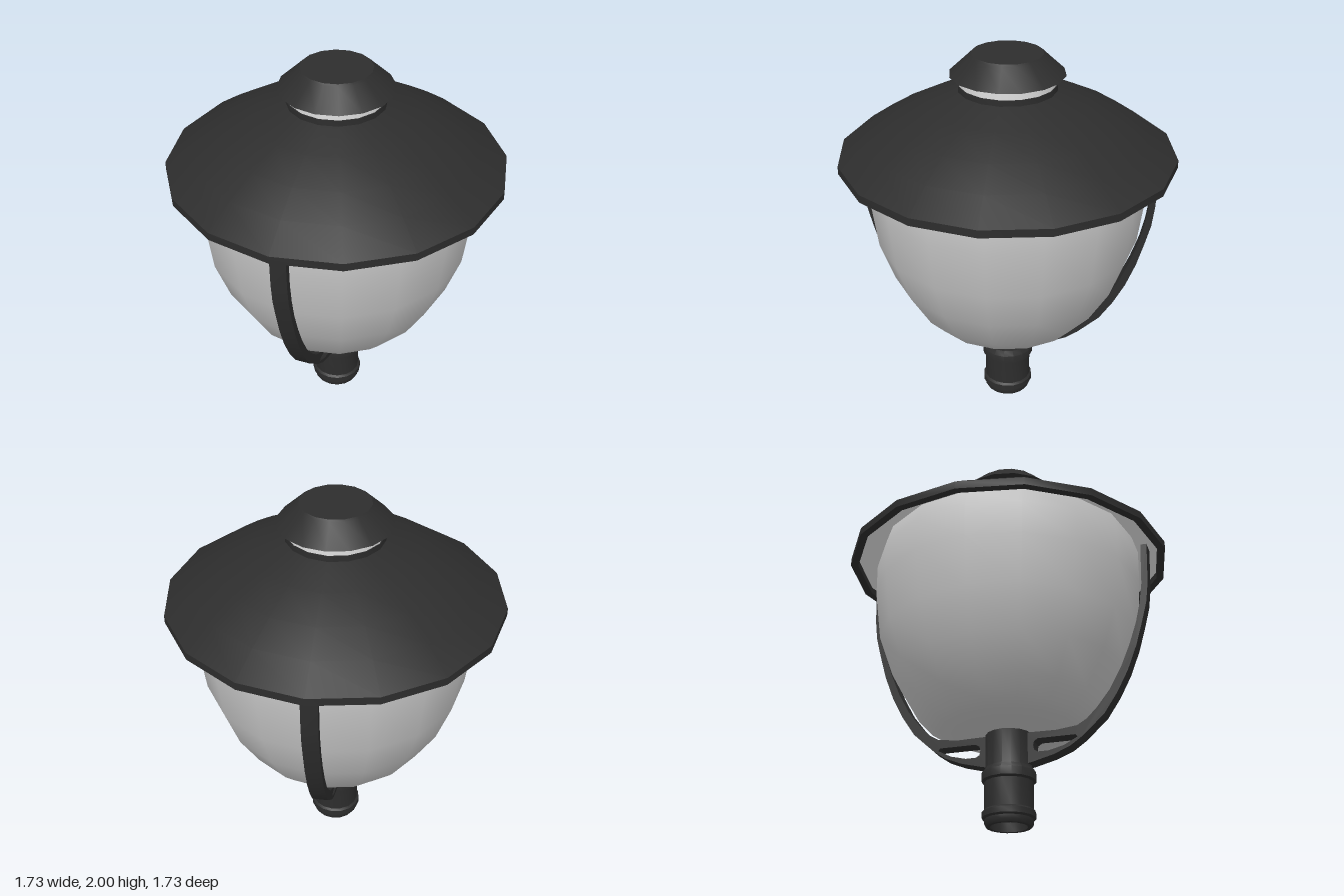
import * as THREE from 'three';
import { toCreasedNormals } from 'three/addons/utils/BufferGeometryUtils.js';

const CREASE = 0.7;
const SIDES = 16;

export function createModel() {
  const model = new THREE.Group();
  model.name = 'lantern';

  const black = new THREE.MeshStandardMaterial({ color: 0x2d2d2d });
  black.name = 'black metal';
  const frosted = new THREE.MeshStandardMaterial({ color: 0xc6c6c6 });
  frosted.name = 'frosted diffuser';
  const white = new THREE.MeshStandardMaterial({ color: 0xe0e0e0 });
  white.name = 'white reflector';

  const vectors = (points) => points.map(([x, y]) => new THREE.Vector2(x, y));

  function add(name, geometry, material) {
    const mesh = new THREE.Mesh(toCreasedNormals(geometry, CREASE), material);
    mesh.name = name;
    model.add(mesh);
    return mesh;
  }

  // Profiles run [radius, height]; upward runs face outwards
  const turn = (name, profile, material) =>
    add(name, new THREE.LatheGeometry(vectors(profile), SIDES), material);

  // Pole socket: recessed base, beads, flared shoulder and neck
  turn('socket', [
    [0, 0.06], [0.095, 0.06], [0.095, 0.005], [0.115, 0.005], [0.125, 0.02],
    [0.125, 0.04], [0.136, 0.048], [0.136, 0.078], [0.125, 0.088],
    [0.125, 0.23], [0.139, 0.238], [0.139, 0.28], [0.12, 0.305],
    [0.12, 0.485], [0, 0.485],
  ], black);

  // Bowl-shaped diffuser
  turn('diffuser', [
    [0, 0.482], [0.25, 0.482], [0.35, 0.497], [0.42, 0.53], [0.5, 0.615],
    [0.61, 0.8], [0.685, 1.01], [0.718, 1.27], [0.72, 1.44], [0.69, 1.54],
  ], frosted);

  // Wide roof with a short rim and a collar at the top
  turn('roof', [
    [0.825, 1.475], [0.825, 1.44], [0.865, 1.44], [0.865, 1.48],
    [0.72, 1.58], [0.58, 1.668], [0.42, 1.748], [0.25, 1.815],
    [0.25, 1.845], [0, 1.845],
  ], black);
  turn('roofReflector', [
    [0, 1.79], [0.24, 1.785], [0.42, 1.713], [0.58, 1.63],
    [0.72, 1.54], [0.825, 1.475],
  ], white);

  // Vent band and cap
  turn('ventBand', [[0.245, 1.84], [0.245, 1.91]], white);
  turn('cap', [
    [0, 1.895], [0.292, 1.895], [0.19, 1.99], [0.18, 2], [0, 2],
  ], black);

  // Curved support arms with a pierced bracket at the foot
  const outline = new THREE.Shape(vectors([
    [0.1, 0.31], [0.13, 0.315], [0.245, 0.345], [0.33, 0.38], [0.395, 0.425],
    [0.51, 0.53], [0.58, 0.635], [0.64, 0.75], [0.69, 0.88], [0.727, 1.01],
    [0.755, 1.12], [0.768, 1.23], [0.775, 1.46],
    [0.742, 1.46], [0.735, 1.23], [0.72, 1.12], [0.695, 1.01], [0.655, 0.89],
    [0.605, 0.77], [0.545, 0.66], [0.475, 0.57], [0.42, 0.515], [0.37, 0.485],
    [0.26, 0.472], [0.1, 0.475],
  ]));
  outline.holes.push(new THREE.Path(vectors([
    [0.37, 0.425], [0.36, 0.438], [0.165, 0.438], [0.145, 0.425],
    [0.14, 0.405], [0.145, 0.38], [0.165, 0.368], [0.22, 0.368], [0.3, 0.388],
  ])));
  const width = 0.084;
  for (const [name, angle] of [['frontArm', -Math.PI / 2], ['backArm', Math.PI / 2]]) {
    const geometry = new THREE.ExtrudeGeometry(outline, { depth: width, bevelEnabled: false });
    geometry.translate(0, 0, -width / 2);
    add(name, geometry, black).rotation.y = angle;
  }

  return model;
}
